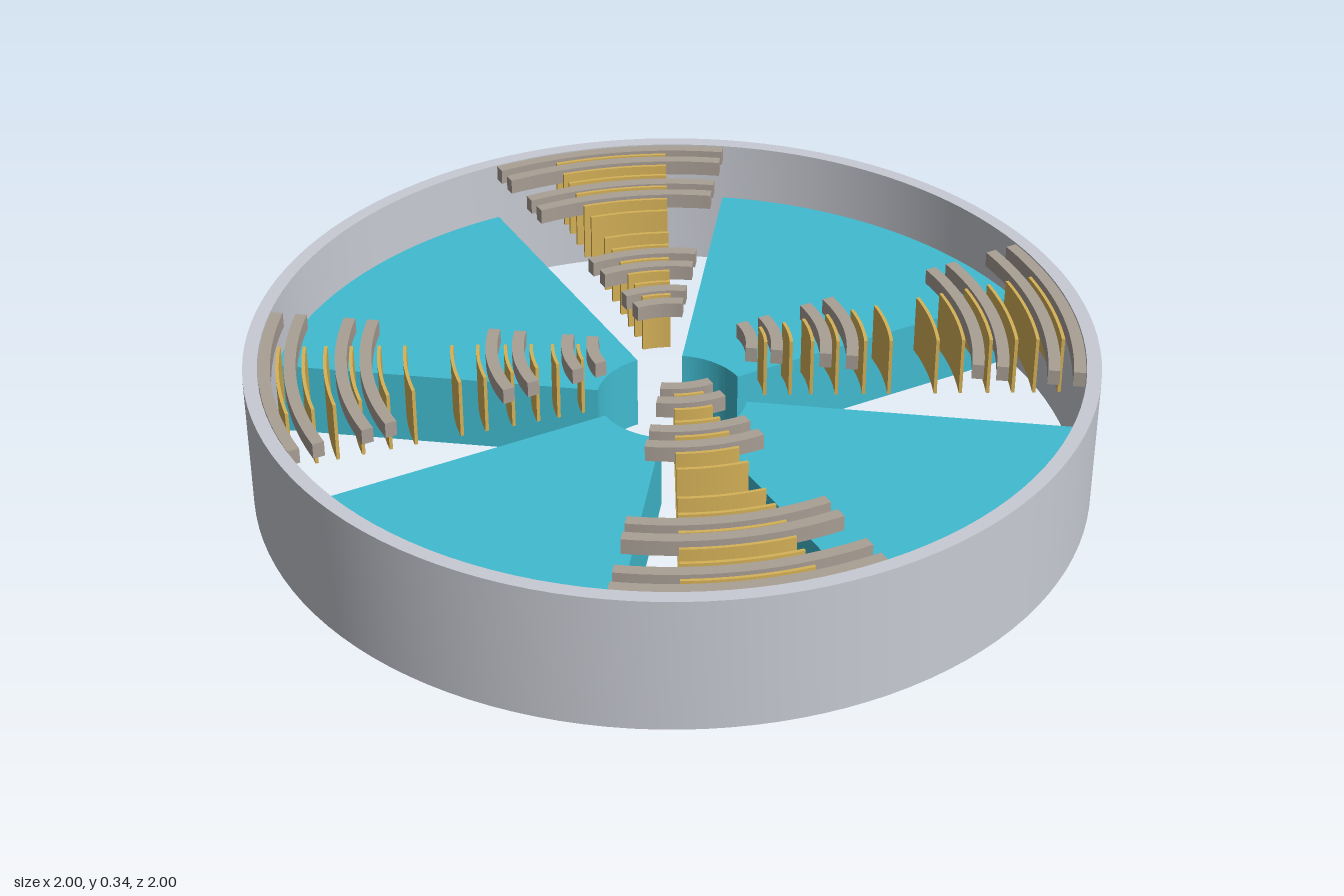
import * as THREE from 'three';
import { toCreasedNormals } from 'three/addons/utils/BufferGeometryUtils.js';

const rad = THREE.MathUtils.degToRad;

function material(name, color) {
  const m = new THREE.MeshStandardMaterial({ color });
  m.name = name;
  return m;
}

// Extrudes a plan shape upward from y0 to y1, smooth on curves and sharp on corners
function extrudeUp(shape, y0, y1, curveSegments) {
  const g = new THREE.ExtrudeGeometry(shape, { depth: y1 - y0, bevelEnabled: false, curveSegments });
  g.rotateX(-Math.PI / 2);
  g.translate(0, y0, 0);
  return toCreasedNormals(g, rad(30));
}

// Annular sector between two radii and two angles (degrees, counterclockwise from above)
function sector(r0, r1, a0, a1, y0, y1) {
  const s = new THREE.Shape();
  s.absarc(0, 0, r1, rad(a0), rad(a1), false);
  s.absarc(0, 0, r0, rad(a1), rad(a0), true);
  s.closePath();
  return extrudeUp(s, y0, y1, 18);
}

export function createModel() {
  const model = new THREE.Group();
  model.name = 'segmentedRing';
  const grey = material('ring grey', 0xc8cbd3);
  const teal = material('wedge teal', 0x41bbd0);
  const taupe = material('rail taupe', 0xa99f95);
  const gold = material('plate gold', 0xd6b258);

  // Outer ring
  const ringShape = new THREE.Shape().absarc(0, 0, 1, 0, Math.PI * 2, false);
  ringShape.holes.push(new THREE.Path().absarc(0, 0, 0.966, 0, Math.PI * 2, true));
  const ring = new THREE.Mesh(extrudeUp(ringShape, 0, 0.34, 60), grey);
  ring.name = 'outerRing';
  model.add(ring);

  // One quarter: open gap of 36 degrees with rails and plates, then a solid wedge of 54
  const wedgeGeo = sector(0.178, 0.965, 36, 90, 0, 0.187);
  const railGeos = [0.187, 0.246, 0.361, 0.423, 0.716, 0.773, 0.891, 0.95]
    .map((r) => sector(r - 0.014, r + 0.014, 0, 36, 0.3, 0.338));
  const plateGeos = [];
  for (const d of [0.055, 0.115, 0.18, 0.24, 0.29, 0.35]) {
    for (const r of [0.57 - d, 0.57 + d]) plateGeos.push(sector(r - 0.004, r + 0.004, 9, 27, 0.187, 0.336));
  }

  for (let i = 0; i < 4; i++) {
    const quarter = new THREE.Group();
    quarter.name = 'quarter' + (i + 1);
    const add = (geo, mat, name) => {
      const mesh = new THREE.Mesh(geo, mat);
      mesh.name = name;
      quarter.add(mesh);
    };
    add(wedgeGeo, teal, 'wedge');
    railGeos.forEach((g, k) => add(g, taupe, 'rail' + (k + 1)));
    plateGeos.forEach((g, k) => add(g, gold, 'plate' + (k + 1)));
    quarter.rotation.y = i * Math.PI / 2;
    model.add(quarter);
  }
  return model;
}
